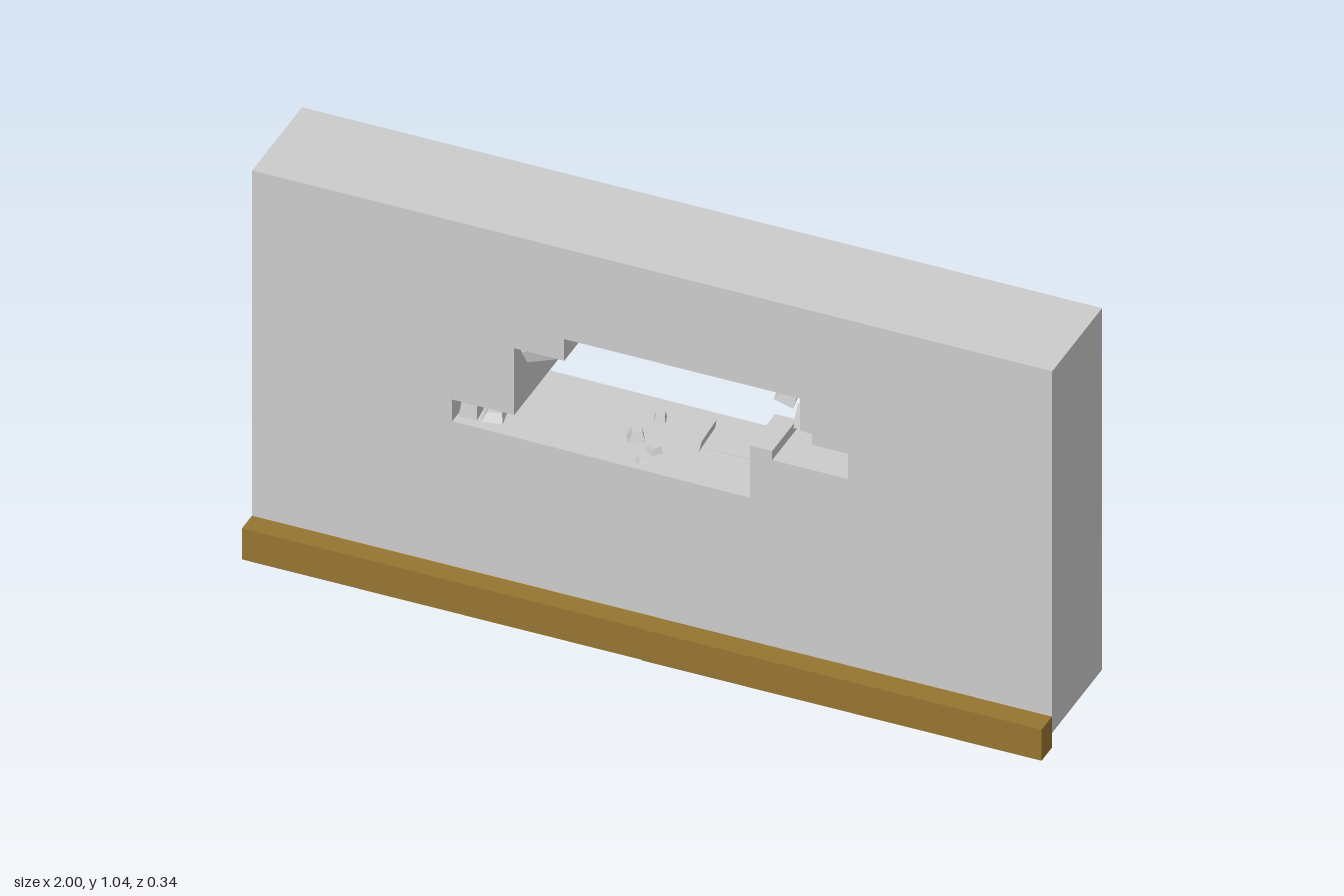
import * as THREE from 'three';

const grey = new THREE.MeshStandardMaterial({ color: 0xcccccc, flatShading: true });
const wood = new THREE.MeshStandardMaterial({ color: 0x957531, flatShading: true });

function add(group, name, geometry, material = grey) {
  const mesh = new THREE.Mesh(geometry, material);
  mesh.name = name;
  group.add(mesh);
  return mesh;
}

// Box given by its minimum and maximum corners
function box(group, name, [x0, y0, z0], [x1, y1, z1], material) {
  const mesh = add(group, name, new THREE.BoxGeometry(x1 - x0, y1 - y0, z1 - z0), material);
  mesh.position.set((x0 + x1) / 2, (y0 + y1) / 2, (z0 + z1) / 2);
  return mesh;
}

// Half the thickness of the wall, pierced by a ragged opening
function wallLayer(group, name, z0, z1, opening) {
  const points = (list) => list.map(([x, y]) => new THREE.Vector2(x, y));
  const shape = new THREE.Shape(points([[-1, 0.04], [1, 0.04], [1, 1.04], [-1, 1.04]]));
  shape.holes.push(new THREE.Path(points(opening)));
  const geometry = new THREE.ExtrudeGeometry(shape, { depth: z1 - z0, bevelEnabled: false });
  add(group, name, geometry.translate(0, 0, z0));
}

// Broken stone: a box whose upper face is shrunk and shifted
function chunk(group, name, [x, y, z], [w, h, d], turn = 0, taper = 0.75, tilt = 0) {
  const geometry = new THREE.BoxGeometry(w, h, d);
  const p = geometry.attributes.position;
  for (let i = 0; i < p.count; i++) {
    if (p.getY(i) > 0) {
      p.setX(i, p.getX(i) * taper + w * 0.06);
      p.setZ(i, p.getZ(i) * taper - d * 0.05);
    }
  }
  geometry.computeVertexNormals();
  const mesh = add(group, name, geometry);
  mesh.position.set(x, y, z);
  mesh.rotation.set(0, turn, tilt);
}

export function createModel() {
  const model = new THREE.Group();
  model.name = 'breachedWall';

  // Wall, with a different break through its front and back halves
  const wall = new THREE.Group();
  wall.name = 'wall';
  model.add(wall);
  wallLayer(wall, 'wallFront', -0.03, 0.11, [
    [-0.5, 0.485], [0.245, 0.48], [0.245, 0.625], [0.3, 0.625], [0.3, 0.6],
    [0.49, 0.6], [0.49, 0.67], [0.4, 0.67], [0.4, 0.7], [0.37, 0.7], [0.37, 0.79],
    [-0.22, 0.79], [-0.22, 0.73], [-0.345, 0.73], [-0.345, 0.545], [-0.5, 0.545],
  ]);
  wallLayer(wall, 'wallBack', -0.17, -0.03, [
    [-0.5, 0.485], [0.5, 0.48], [0.5, 0.72], [0.38, 0.72], [0.38, 0.79],
    [-0.345, 0.79], [-0.345, 0.545], [-0.5, 0.545],
  ]);

  // Bricks still standing inside the opening
  box(wall, 'looseBrick', [0.27, 0.5, -0.08], [0.43, 0.58, -0.03]);
  box(wall, 'endBrick', [0.4, 0.58, -0.1], [0.5, 0.67, -0.03]);
  box(wall, 'upperBrick', [0.37, 0.69, -0.09], [0.46, 0.72, -0.03]);

  // Fragments: position, size, turn, taper, tilt
  const rubble = new THREE.Group();
  rubble.name = 'rubble';
  model.add(rubble);
  [
    // on the sill
    [[0.01, 0.492, -0.06], [0.1, 0.025, 0.1], 0.05, 0.95],
    [[-0.09, 0.494, 0.0], [0.04, 0.025, 0.035], 0.5, 0.6],
    [[-0.03, 0.489, 0.03], [0.03, 0.016, 0.03], 0.9, 0.7],
    [[-0.07, 0.491, -0.09], [0.03, 0.02, 0.03], 0.3, 0.7],
    [[-0.04, 0.489, 0.08], [0.025, 0.012, 0.03], 0.7, 0.6],
    [[-0.475, 0.51, 0.06], [0.045, 0.05, 0.05], 0.1, 0.8],
    [[-0.42, 0.495, 0.05], [0.05, 0.02, 0.06], 0.2, 0.7],
    [[-0.45, 0.498, -0.13], [0.09, 0.025, 0.06], 0, 0.85],
    // hanging from the top
    [[0.02, 0.78, 0.0], [0.05, 0.025, 0.06], 0.4, 1.3],
    [[0.07, 0.765, 0.01], [0.04, 0.05, 0.04], 0.7, 1.3],
    [[0.1, 0.781, -0.04], [0.04, 0.02, 0.04], 0.2, 1.3],
    [[0.27, 0.782, 0.03], [0.04, 0.02, 0.04], 0.3, 1.3],
    [[0.34, 0.778, 0.04], [0.05, 0.03, 0.05], 0.1, 1.2],
    // at the broken edges
    [[-0.3, 0.715, 0.05], [0.07, 0.035, 0.08], 0.3, 1.3, 0.2],
    [[-0.325, 0.69, 0.04], [0.03, 0.03, 0.04], 0.5, 1.2, 0.4],
    [[0.29, 0.71, 0.0], [0.05, 0.03, 0.04], 0.2, 0.7, -0.4],
    [[0.35, 0.69, 0.03], [0.06, 0.03, 0.06], 0.3, 0.8, 0.2],
    [[0.35, 0.735, -0.05], [0.04, 0.03, 0.05], 0.4, 0.8, 0.3],
  ].forEach((args, i) => chunk(rubble, `fragment${i + 1}`, ...args));

  // Timber kerb along the foot of the front, in two lengths
  box(model, 'kerbRight', [-1, 0, 0.112], [0, 0.086, 0.168], wood);
  box(model, 'kerbLeft', [0, 0, 0.112], [1, 0.086, 0.17], wood);

  return model;
}
